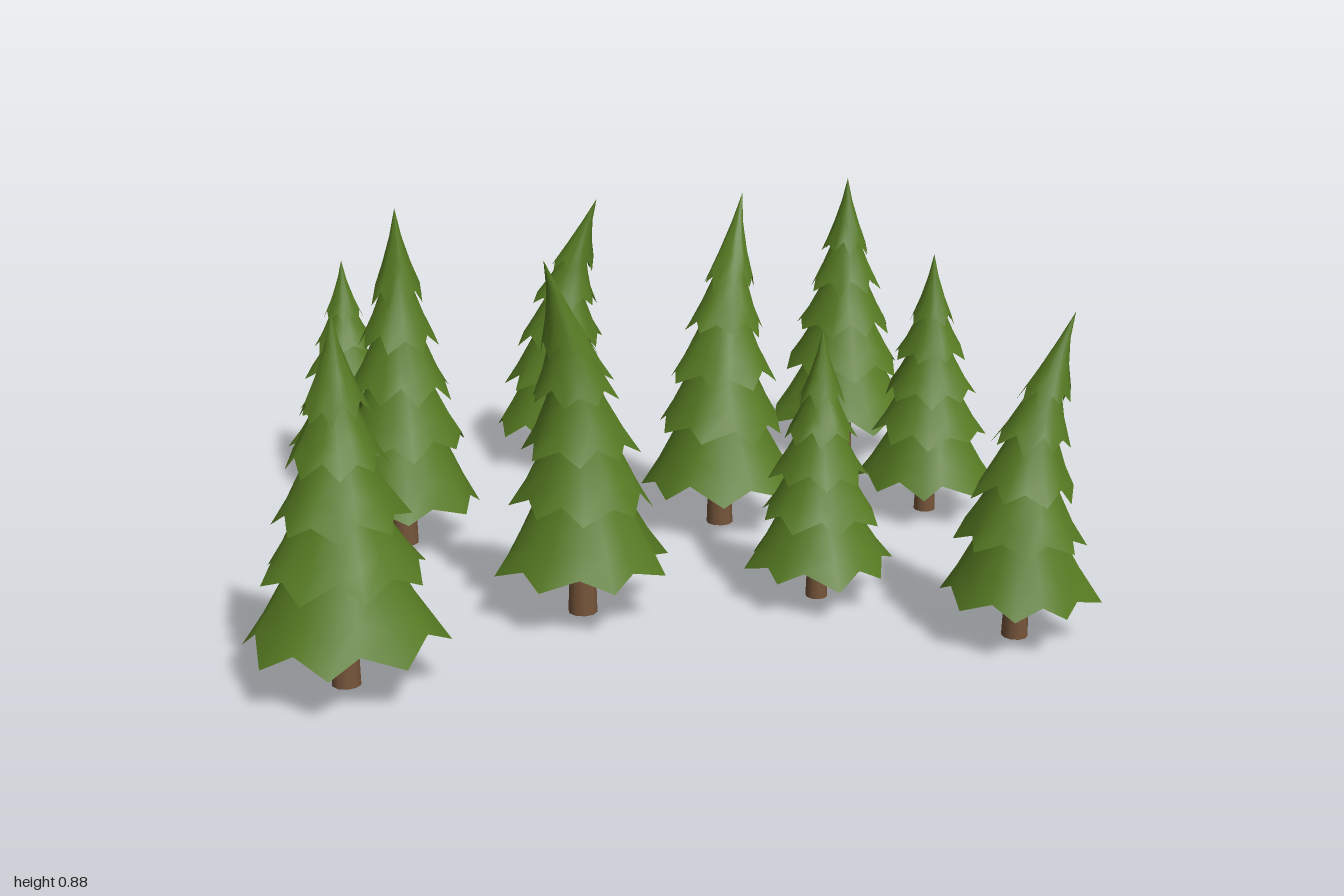
import * as THREE from 'three';

const foliage = new THREE.MeshStandardMaterial({ color: 0x567a22, side: THREE.DoubleSide });
foliage.name = 'pine green';
const bark = new THREE.MeshStandardMaterial({ color: 0x76553a });
bark.name = 'bark brown';

// x, z, height, skirt radius, tip lean in x, tip lean in z
const TREES = [
  [-0.735, -0.72, 0.63, 0.175, 0, 0],
  [-0.115, -0.78, 0.78, 0.19, 0.11, 0.035],
  [0.735, -0.74, 0.82, 0.215, 0, 0],
  [-0.605, -0.12, 0.88, 0.205, 0, 0],
  [0.235, -0.14, 0.87, 0.21, 0.075, -0.11],
  [0.81, -0.15, 0.71, 0.187, 0, 0],
  [-0.215, 0.43, 0.87, 0.205, -0.095, 0.105],
  [0.355, 0.425, 0.66, 0.177, 0, 0],
  [-0.775, 0.755, 0.82, 0.22, 0, 0],
  [0.74, 0.74, 0.75, 0.18, 0.115, -0.03],
];

// Tiers as fractions: rim height, rim radius, top height, top radius
const TIERS = [
  [0.145, 0.93, 0.40, 0.40],
  [0.325, 0.76, 0.54, 0.32],
  [0.475, 0.61, 0.68, 0.23],
  [0.625, 0.46, 0.82, 0.14],
  [0.755, 0.30, 1.00, 0.0],
];
const POINTS = 8;
const SEGMENTS = POINTS * 2;

function seeded(seed) {
  let s = seed * 7919 + 13;
  return () => {
    s = (s * 16807) % 2147483647;
    return s / 2147483647;
  };
}

// Hollow skirt with a drooping, pointed rim, fluted towards the rim
function tierGeometry([rimY, rimR, topY, topR], h, R, lean, rnd) {
  const rings = [0, 0.3, 0.65, 1];
  const phase = rnd() * Math.PI;
  const positions = [];
  const index = [];
  const jitter = Array.from({ length: SEGMENTS }, () => [rnd() - 0.5, rnd() - 0.5, rnd() - 0.5]);
  rings.forEach((v) => {
    const fade = (1 - v) ** 1.3;
    for (let i = 0; i < SEGMENTS; i++) {
      const point = i % 2 === 0 ? 1 : -1;
      const [jr, jy, ja] = jitter[i];
      const a = phase + ((i + ja * 0.4 * fade) / SEGMENTS) * Math.PI * 2;
      const base = rimR + (topR - rimR) * v - 0.035 * Math.sin(v * Math.PI);
      const r = R * Math.max(0, base) * (1 + fade * (point * 0.08 + jr * 0.12));
      const y = h * (rimY + (topY - rimY) * v - fade * (point * 0.02 + jy * 0.022));
      const bend = Math.max(0, (y / h - 0.35) / 0.65) ** 2;
      positions.push(Math.cos(a) * r + lean[0] * bend, y, Math.sin(a) * r + lean[1] * bend);
    }
  });
  for (let k = 0; k < rings.length - 1; k++) {
    for (let i = 0; i < SEGMENTS; i++) {
      const j = (i + 1) % SEGMENTS;
      const a = k * SEGMENTS + i, b = k * SEGMENTS + j;
      index.push(a, a + SEGMENTS, b, b, a + SEGMENTS, b + SEGMENTS);
    }
  }
  const g = new THREE.BufferGeometry();
  g.setAttribute('position', new THREE.Float32BufferAttribute(positions, 3));
  g.setIndex(index);
  g.computeVertexNormals();
  return g;
}

function makeTree([x, z, h, R, leanX, leanZ], n) {
  const tree = new THREE.Group();
  tree.name = `pineTree${n + 1}`;
  const rnd = seeded(n + 1);

  // Trunk runs up inside the hollow skirts
  const trunkH = h * 0.5;
  const trunk = new THREE.Mesh(new THREE.CylinderGeometry(h * 0.026, h * 0.04, trunkH, 10), bark);
  trunk.name = 'trunk';
  trunk.position.y = trunkH / 2;
  tree.add(trunk);

  TIERS.forEach((tier, i) => {
    const branch = new THREE.Mesh(tierGeometry(tier, h, R, [leanX, leanZ], rnd), foliage);
    branch.name = `branchTier${i + 1}`;
    tree.add(branch);
  });
  tree.position.set(x, 0, z);
  return tree;
}

export function createModel() {
  const grove = new THREE.Group();
  grove.name = 'pineGrove';
  TREES.forEach((t, n) => grove.add(makeTree(t, n)));
  return grove;
}
